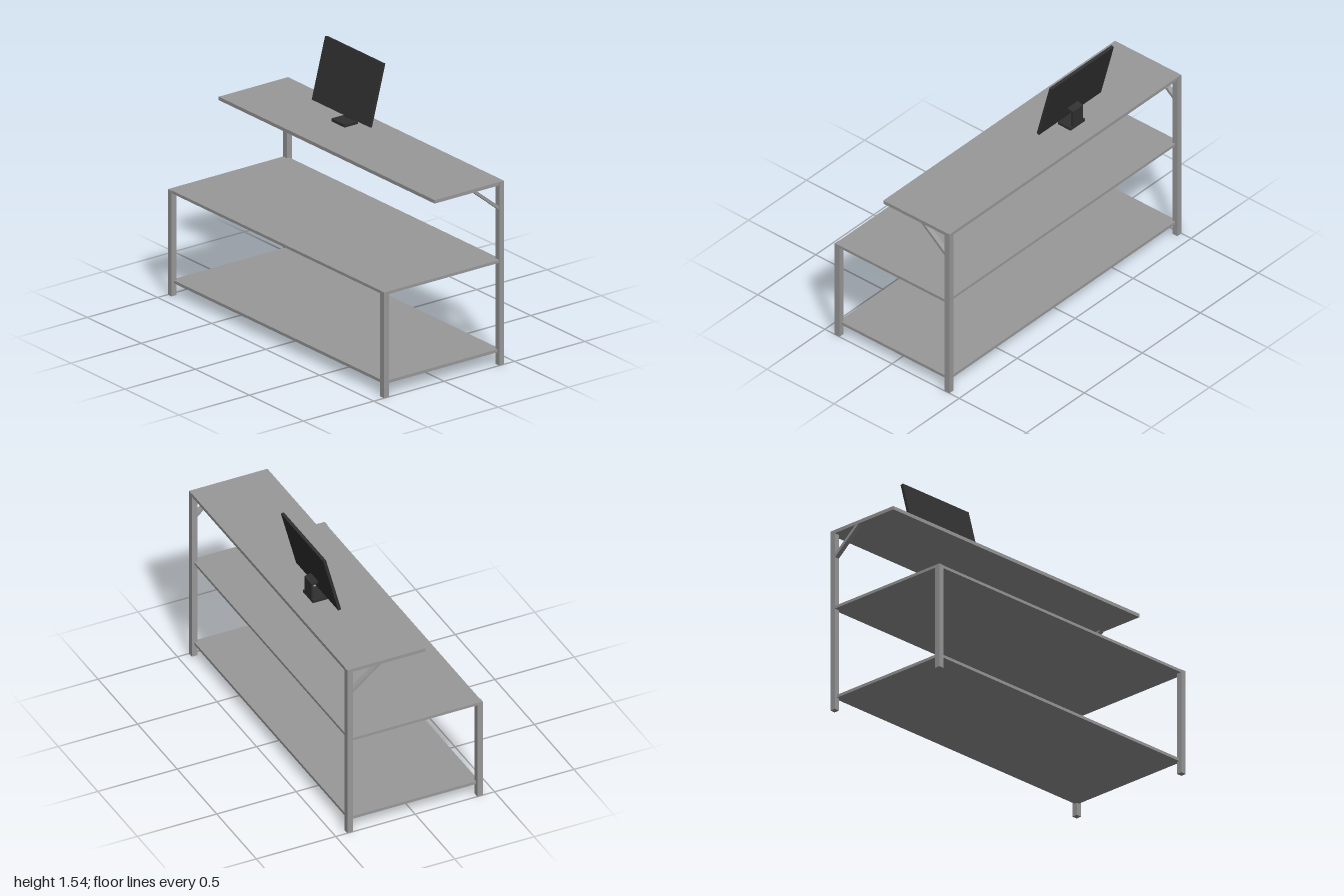
import * as THREE from 'three';

export function createModel() {
  const group = new THREE.Group();
  const steel = new THREE.MeshStandardMaterial({ color: 0x999999 });
  steel.name = 'grey steel';
  const plastic = new THREE.MeshStandardMaterial({ color: 0x303030 });
  plastic.name = 'dark plastic';

  const add = (name, geometry, material, parent = group) => {
    const mesh = new THREE.Mesh(geometry, material);
    mesh.name = name;
    parent.add(mesh);
    return mesh;
  };
  // Box given by its lower and upper limits on each axis
  const slab = (name, [x0, x1], [y0, y1], [z0, z1], material, parent) => {
    const mesh = add(name, new THREE.BoxGeometry(x1 - x0, y1 - y0, z1 - z0), material, parent);
    mesh.position.set((x0 + x1) / 2, (y0 + y1) / 2, (z0 + z1) / 2);
    return mesh;
  };
  // Side profile of (z, y) points, extruded along x and centred on x
  const profile = (name, points, x, width, material, parent) => {
    const shape = new THREE.Shape(points.map(([z, y]) => new THREE.Vector2(z, y)));
    const geometry = new THREE.ExtrudeGeometry(shape, { depth: width, bevelEnabled: false });
    geometry.translate(0, 0, -width / 2).rotateY(-Math.PI / 2);
    const mesh = add(name, geometry, material, parent);
    mesh.position.x = x;
    return mesh;
  };

  // Legs and diagonal braces, mirrored on both ends
  for (const side of [-1, 1]) {
    const label = side > 0 ? 'left' : 'right';
    const xs = side > 0 ? [0.965, 1] : [-1, -0.965];
    slab(label + 'FrontLeg', xs, [0, 0.639], [0.392, 0.427], steel);
    slab(label + 'RearLeg', xs, [0, 1.112], [-0.427, -0.392], steel);
    profile(label + 'Brace',
      [[-0.208, 1.094], [-0.235, 1.094], [-0.395, 0.965], [-0.395, 0.941]],
      side * 0.982, 0.03, steel);
  }

  // Shelves, let into the legs
  slab('lowerShelf', [-0.982, 0.982], [0.075, 0.093], [-0.41, 0.41], steel);
  slab('worktop', [-0.999, 0.999], [0.623, 0.64], [-0.41, 0.423], steel);
  slab('upperShelf', [-0.999, 0.999], [1.092, 1.113], [-0.426, 0.066], steel);

  // Monitor on its stand
  const monitor = new THREE.Group();
  monitor.name = 'monitor';
  group.add(monitor);
  const cx = -0.2525;
  const screen = add('screenPanel', new THREE.BoxGeometry(0.535, 0.376, 0.018), plastic, monitor);
  screen.position.set(cx, 1.355, -0.283);
  screen.rotation.x = -0.257;
  slab('standBase', [cx - 0.062, cx + 0.062], [1.113, 1.13], [-0.302, -0.208], plastic, monitor);
  profile('standNeck',
    [[-0.255, 1.247], [-0.303, 1.234], [-0.303, 1.12], [-0.288, 1.12], [-0.288, 1.221], [-0.258, 1.229]],
    cx, 0.087, plastic, monitor);

  return group;
}
